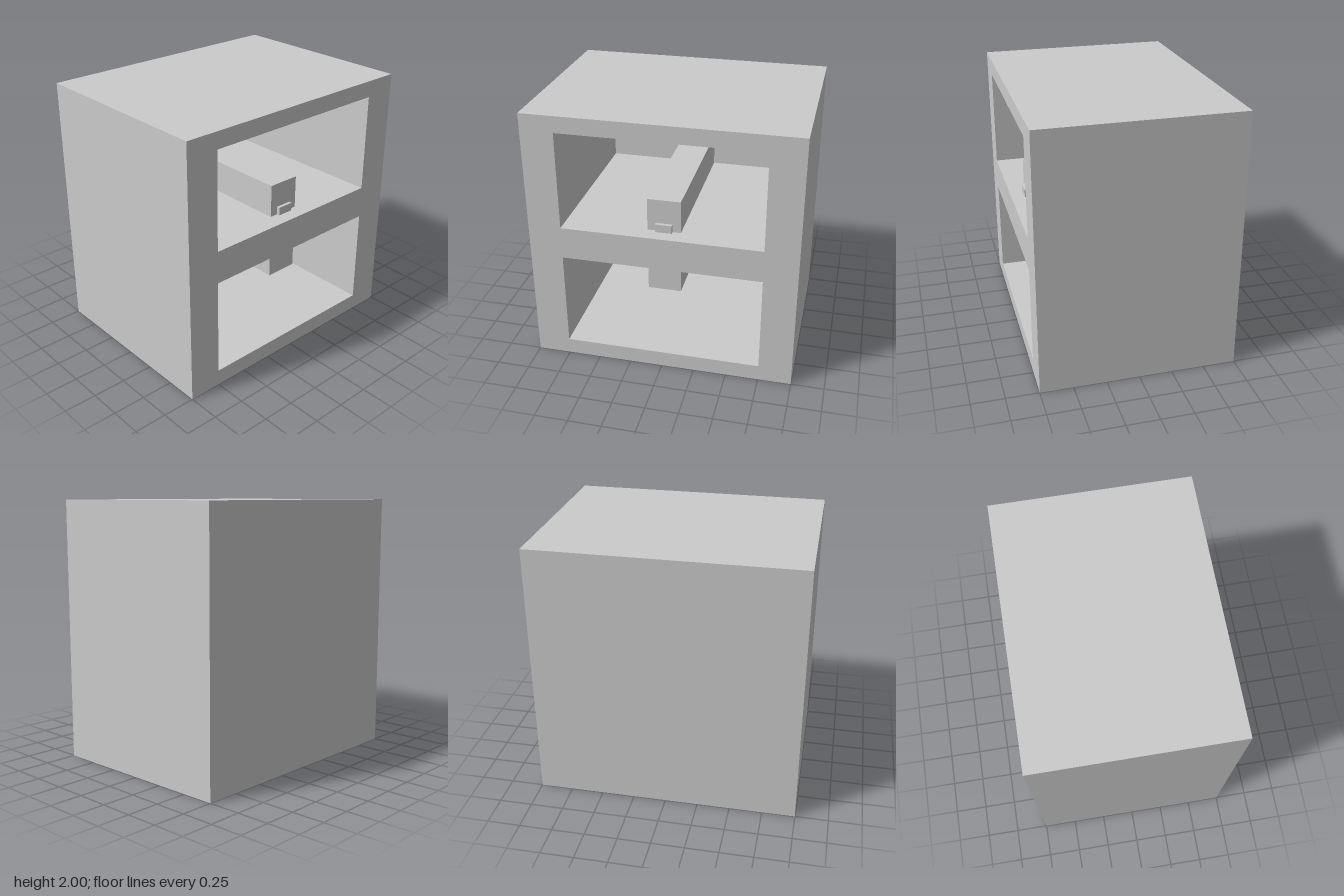
import * as THREE from 'three';

export function createModel() {
  const model = new THREE.Group();
  const material = new THREE.MeshStandardMaterial({ color: 0xcccccc, flatShading: true });

  const add = (name, geometry) => {
    const mesh = new THREE.Mesh(geometry, material);
    mesh.name = name;
    model.add(mesh);
  };

  // Box given by its lower and upper corners
  const box = (name, [x0, y0, z0], [x1, y1, z1]) => {
    const g = new THREE.BoxGeometry(x1 - x0, y1 - y0, z1 - z0);
    g.translate((x0 + x1) / 2, (y0 + y1) / 2, (z0 + z1) / 2);
    add(name, g);
  };

  const rectangle = (target, halfWidth, y0, y1) => {
    target.moveTo(-halfWidth, y0);
    target.lineTo(halfWidth, y0);
    target.lineTo(halfWidth, y1);
    target.lineTo(-halfWidth, y1);
    target.closePath();
    return target;
  };

  const back = -0.625; // inner face of the closed back wall
  const front = 0.75; // open side

  // Cabinet body with two compartments opening towards +x
  const outline = rectangle(new THREE.Shape(), 1, 0, 2);
  for (const y of [0.125, 1.125]) {
    outline.holes.push(rectangle(new THREE.Path(), 0.75, y, y + 0.75));
  }
  const frame = new THREE.ExtrudeGeometry(outline, { depth: front - back, bevelEnabled: false });
  frame.rotateY(Math.PI / 2);
  frame.translate(back, 0, 0);
  add('cabinetFrame', frame);
  box('backWall', [-0.75, 0, -1], [back, 2, 1]);

  // Long bars above and below the middle shelf, each with a small end tab
  box('upperBar', [back, 1.125, -0.125], [0.625, 1.375, 0.125]);
  box('upperTab', [0.625, 1.125, -0.0625], [0.65, 1.1875, 0.0625]);
  box('lowerBar', [back, 0.625, -0.125], [0.625, 0.875, 0.125]);
  box('lowerTab', [0.625, 0.8125, -0.0625], [0.65, 0.875, 0.0625]);

  return model;
}
